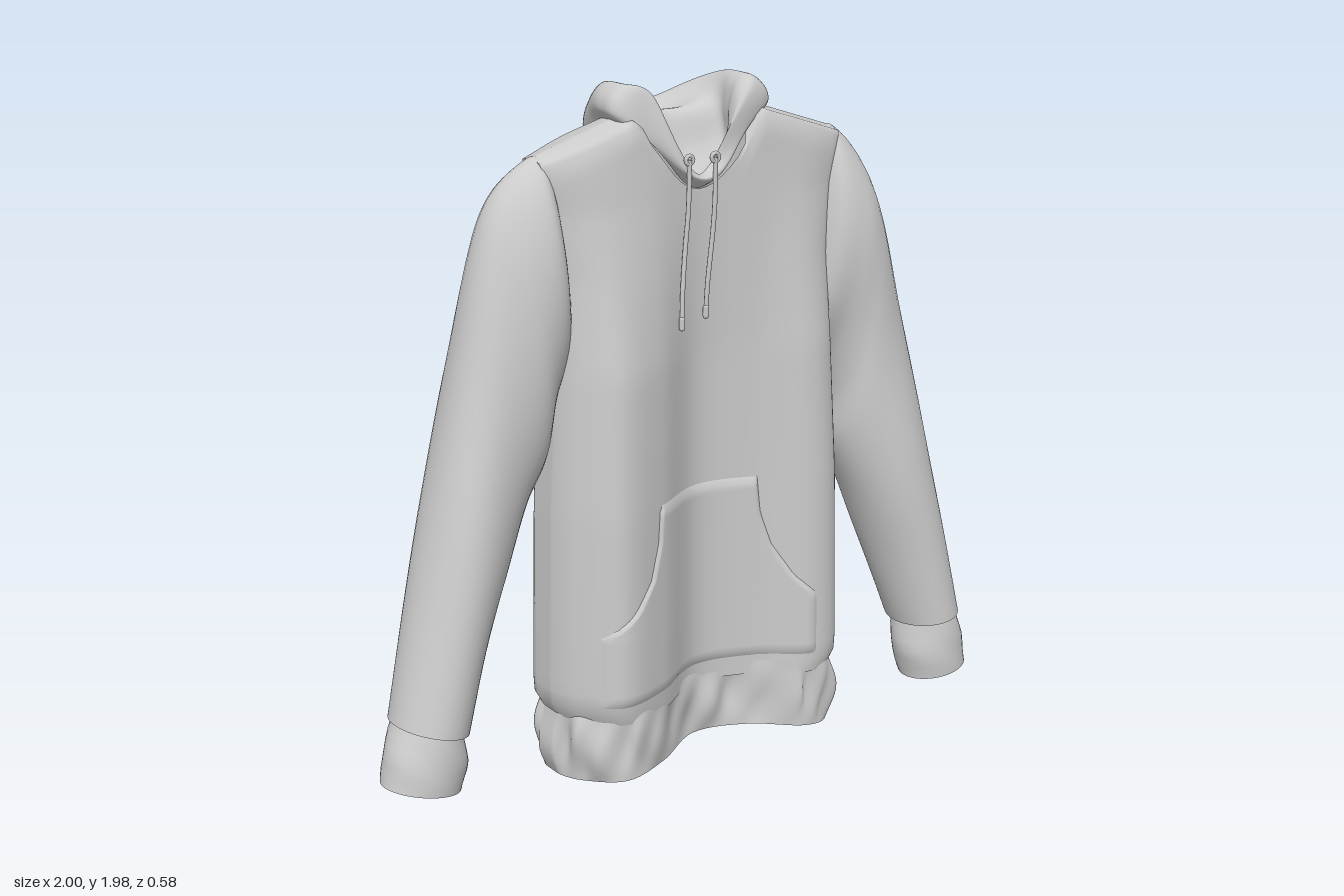
import * as THREE from 'three';

const CX = 0.045; // centre line of the garment
const mat = new THREE.MeshStandardMaterial({ color: 0xcccccc, roughness: 0.9, side: THREE.DoubleSide });
const lerp = THREE.MathUtils.lerp;

// Smooth interpolation through evenly spaced values, t in 0..1
function spline(k, t) {
  const f = Math.min(Math.max(t, 0), 1) * (k.length - 1);
  const i = Math.min(Math.floor(f), k.length - 2), w = f - i;
  const at = (n) => k[Math.min(Math.max(n, 0), k.length - 1)];
  const m0 = (at(i + 1) - at(i - 1)) / 2, m1 = (at(i + 2) - at(i)) / 2;
  const w2 = w * w, w3 = w2 * w;
  return (2 * w3 - 3 * w2 + 1) * at(i) + (w3 - 2 * w2 + w) * m0 + (3 * w2 - 2 * w3) * at(i + 1) + (w3 - w2) * m1;
}

// Linear interpolation through [position, value] pairs
function table(keys, p) {
  if (p <= keys[0][0]) return keys[0][1];
  for (let i = 1; i < keys.length; i++) {
    const [p0, a] = keys[i - 1], [p1, b] = keys[i];
    if (p <= p1) return lerp(a, b, (p - p0) / (p1 - p0));
  }
  return keys[keys.length - 1][1];
}

// Grid surface from fn(u, v); a closed one wraps in u
function surface(name, nu, nv, closed, fn) {
  const pos = [], idx = [], cols = closed ? nu : nu + 1;
  for (let j = 0; j <= nv; j++) for (let i = 0; i < cols; i++) pos.push(...fn(i / nu, j / nv));
  for (let j = 0; j < nv; j++) for (let i = 0; i < nu; i++) {
    const a = j * cols + i, b = j * cols + ((i + 1) % cols);
    idx.push(a, b, b + cols, a, b + cols, a + cols);
  }
  const g = new THREE.BufferGeometry();
  g.setAttribute('position', new THREE.Float32BufferAttribute(pos, 3));
  g.setIndex(idx);
  g.computeVertexNormals();
  const m = new THREE.Mesh(g, mat);
  m.name = name;
  return m;
}

// Depth across the body from right seam to left seam: draped low, flat at the chest
const FRONT_LOW = [0.09, 0.19, 0.285, 0.235, 0.115, 0.14, 0.225, 0.2, 0.09];
const FRONT_TOP = [0.115, 0.135, 0.155, 0.155, 0.135, 0.155, 0.155, 0.135, 0.115];
const BACK_LOW = [0.03, -0.045, -0.065, 0.03, -0.12, 0.03, -0.06, -0.055, 0.03];
const BACK_TOP = [0.0, -0.01, -0.035, -0.025, -0.05, -0.025, -0.035, -0.01, 0.0];
// How strongly the folds show at each height
const FRONT_FOLD = [[0.2, 1], [0.8, 0.9], [1.2, 0.73], [1.5, 0.32], [1.65, 0.12], [1.8, 0]];
const BACK_FOLD = [[0.2, 1], [0.8, 0.58], [1.2, 0.35], [1.6, 0]];
const WIDTH = [[0.2, 0.485], [0.8, 0.475], [1.2, 0.455], [1.45, 0.445], [1.65, 0.46], [1.8, 0.495]];
const halfWidth = (y) => table(WIDTH, y);

function bodyZ(s, y, front) {
  const t = Math.asin(Math.min(Math.max(s, -1), 1)) / Math.PI + 0.5;
  return front
    ? lerp(spline(FRONT_TOP, t), spline(FRONT_LOW, t), table(FRONT_FOLD, y))
    : lerp(spline(BACK_TOP, t), spline(BACK_LOW, t), table(BACK_FOLD, y));
}

// Shoulder line with neckline
function topY(d, front) {
  if (d > 0.2) return 1.9 - (d - 0.2) * 0.33;
  const q = (d / 0.2) ** 2;
  return front ? 1.68 + 0.22 * q : 1.85 + 0.05 * q;
}

function torso() {
  return surface('torso', 128, 48, true, (u, v) => {
    const a = u * Math.PI * 2, s = Math.sin(a), front = Math.cos(a) >= 0;
    const d = Math.abs(s) * 0.495, top = topY(d, front);
    const y = lerp(0.19, top, 1 - (1 - v) ** 1.3);
    let z = bodyZ(s, y, front);
    // The panels slope in at the shoulder and a narrow strip joins them on top
    const h = Math.max(0, (y - top + 0.08) / 0.08);
    const close = v === 1 ? 0 : 1 - 0.25 * h * h;
    z = lerp(z, lerp(0.06, z, close), THREE.MathUtils.smoothstep(d, 0.13, 0.21));
    // The bottom edge rolls in over the waistband
    const tuck = 1 - 0.06 * Math.max(0, 1 - (y - 0.19) / 0.05);
    return [CX + halfWidth(y) * s * tuck, y, 0.07 + (z - 0.07) * tuck];
  });
}

// Gathered waistband
function waistband() {
  return surface('waistband', 160, 12, true, (u, v) => {
    const a = u * Math.PI * 2, s = Math.sin(a), c = Math.cos(a), front = c >= 0;
    const low = 0.004 + (front ? 0.028 : 0.05) * c * c;
    const y = lerp(low, 0.23, v);
    const puff = Math.sin(v * Math.PI);
    const ripple = (0.014 * Math.sin(a * 11 + v * 2) + 0.008 * Math.sin(a * 23 - v * 3)) * puff;
    const k = 0.94 + 0.03 * puff;
    return [CX + 0.485 * s * k + ripple * s, y, 0.07 + (bodyZ(s, 0.2, front) - 0.07) * k + ripple * c];
  });
}

// Front pouch with curved hand openings
function pocket() {
  const right = [[0.25, -0.355], [0.46, -0.35], [0.52, -0.26], [0.6, -0.19], [0.7, -0.155], [0.81, -0.145]];
  const left = [[0.25, 0.405], [0.44, 0.405], [0.5, 0.34], [0.6, 0.28], [0.7, 0.25], [0.81, 0.24]];
  return surface('pocket', 48, 32, false, (u, v) => {
    const y = lerp(0.25, 0.81, v);
    const x = lerp(table(right, y), table(left, y), u);
    const edge = u === 0 || u === 1 || v === 0 || v === 1;
    return [x, y, bodyZ((x - CX) / halfWidth(y), y, true) + (edge ? 0 : 0.01)];
  });
}

// Tube from cross-sections [outerX, outerY, innerX, innerY, centreZ, radiusZ]
function limb(name, sections, side, nv, wrinkle) {
  const col = [0, 1, 2, 3, 4, 5].map((i) => sections.map((r) => r[i]));
  return surface(name, 40, nv, true, (u, v) => {
    const [ox, oy, ix, iy, zc, rz] = col.map((k) => spline(k, v));
    const a = u * Math.PI * 2;
    const fold = 1 + wrinkle * Math.sin(a * 3 + v * 9) * Math.sin(v * Math.PI);
    const w = -side * Math.sin(a) * 0.5 * fold;
    return [(ox + ix) / 2 + (ox - ix) * w, (oy + iy) / 2 + (oy - iy) * w, zc + rz * Math.cos(a) * fold];
  });
}

// Each sleeve starts just inside the armhole
const SLEEVES = {
  left: [[0.49, 1.795, 0.42, 1.24, 0.058, 0.06], [0.535, 1.805, 0.46, 1.19, 0.068, 0.115], [0.62, 1.73, 0.52, 1.12, 0.06, 0.14],
    [0.685, 1.58, 0.55, 1.0, 0.055, 0.15], [0.76, 1.28, 0.55, 0.85, 0.06, 0.155], [0.84, 0.93, 0.625, 0.64, 0.09, 0.15],
    [0.91, 0.6, 0.7, 0.44, 0.115, 0.14], [0.97, 0.28, 0.765, 0.25, 0.14, 0.13]],
  right: [[-0.41, 1.795, -0.34, 1.24, 0.058, 0.06], [-0.455, 1.805, -0.375, 1.19, 0.068, 0.115], [-0.56, 1.71, -0.41, 1.08, 0.06, 0.14],
    [-0.63, 1.55, -0.44, 0.95, 0.055, 0.15], [-0.71, 1.24, -0.51, 0.84, 0.06, 0.155], [-0.8, 0.9, -0.59, 0.65, 0.09, 0.15],
    [-0.88, 0.58, -0.67, 0.45, 0.115, 0.14], [-0.95, 0.3, -0.735, 0.25, 0.14, 0.13]],
};
const CUFFS = {
  left: [[0.955, 0.3, 0.785, 0.265, 0.14, 0.11], [0.985, 0.2, 0.77, 0.16, 0.155, 0.11], [0.998, 0.105, 0.79, 0.07, 0.165, 0.1]],
  right: [[-0.935, 0.32, -0.755, 0.265, 0.14, 0.11], [-0.98, 0.22, -0.745, 0.17, 0.155, 0.11], [-0.998, 0.135, -0.77, 0.09, 0.165, 0.1]],
};

// Lowered hood: neck seam, hanging bag, rolled rim, dished top, lining folded forward into the neck.
// Each profile point: half width, z at front/side/back, y at front/side/back
const HOOD = [
  [0.19, 0.125, 0.06, -0.03, 1.68, 1.86, 1.7],
  [0.215, 0.14, 0.05, -0.09, 1.69, 1.86, 1.55],
  [0.24, 0.15, 0.03, -0.21, 1.7, 1.88, 1.585],
  [0.255, 0.155, 0.02, -0.28, 1.71, 1.91, 1.72],
  [0.24, 0.155, 0.02, -0.285, 1.715, 1.95, 1.82],
  [0.2, 0.15, 0.03, -0.235, 1.72, 1.98, 1.875],
  [0.16, 0.14, 0.04, -0.14, 1.72, 1.95, 1.85],
  [0.14, 0.125, 0.04, -0.045, 1.71, 1.88, 1.87],
  [0.135, 0.115, 0.05, 0.0, 1.69, 1.79, 1.76],
  [0.08, 0.105, 0.075, 0.06, 1.67, 1.68, 1.67],
];
function hood() {
  const col = [0, 1, 2, 3, 4, 5, 6].map((i) => HOOD.map((r) => r[i]));
  return surface('hood', 96, 54, true, (u, v) => {
    const [hw, zf, zs, zb, yf, ys, yb] = col.map((k) => spline(k, v));
    const a = u * Math.PI * 2, c = Math.cos(a), s = Math.sin(a);
    const z = c > 0 ? lerp(zs, zf, Math.sqrt(c)) : lerp(zs, zb, -c);
    const y = c > 0 ? lerp(ys, yf, c ** 4) : lerp(ys, yb, c * c);
    const crease = 0.012 * Math.sin(a * 5 + v * 6) * Math.sin(v * Math.PI);
    return [CX + (hw + crease) * s, y, z + crease * c];
  });
}

// Drawstring with knot at the eyelet and a tipped end
function drawstring(name, x0, x1, yEnd) {
  const g = new THREE.Group();
  g.name = name;
  const zAt = (x, y) => bodyZ((x - CX) / halfWidth(y), y, true) + 0.014;
  const pts = [];
  for (let i = 0; i <= 6; i++) {
    const t = i / 6, y = lerp(1.77, yEnd, t), x = lerp(x0, x1, t) + 0.006 * Math.sin(t * 5);
    pts.push(new THREE.Vector3(x, y, Math.max(zAt(x, y), 0.165 - 0.015 * t)));
  }
  const cord = new THREE.Mesh(new THREE.TubeGeometry(new THREE.CatmullRomCurve3(pts), 40, 0.007, 8), mat);
  cord.name = 'cord';
  const knot = new THREE.Mesh(new THREE.TorusGeometry(0.012, 0.006, 8, 16), mat);
  knot.name = 'knot';
  knot.position.copy(pts[0]);
  const tip = new THREE.Mesh(new THREE.CapsuleGeometry(0.009, 0.025, 4, 10), mat);
  tip.name = 'tip';
  tip.position.copy(pts[6]);
  g.add(cord, knot, tip);
  return g;
}

export function createModel() {
  const model = new THREE.Group();
  model.name = 'hoodedSweatshirt';
  model.add(torso(), waistband(), pocket(), hood());
  for (const [key, side] of [['left', 1], ['right', -1]]) {
    model.add(limb(key + 'Sleeve', SLEEVES[key], side, 56, 0.035));
    model.add(limb(key + 'Cuff', CUFFS[key], side, 8, 0.02));
  }
  model.add(drawstring('rightDrawstring', -0.01, -0.03, 1.31), drawstring('leftDrawstring', 0.075, 0.062, 1.33));
  return model;
}
